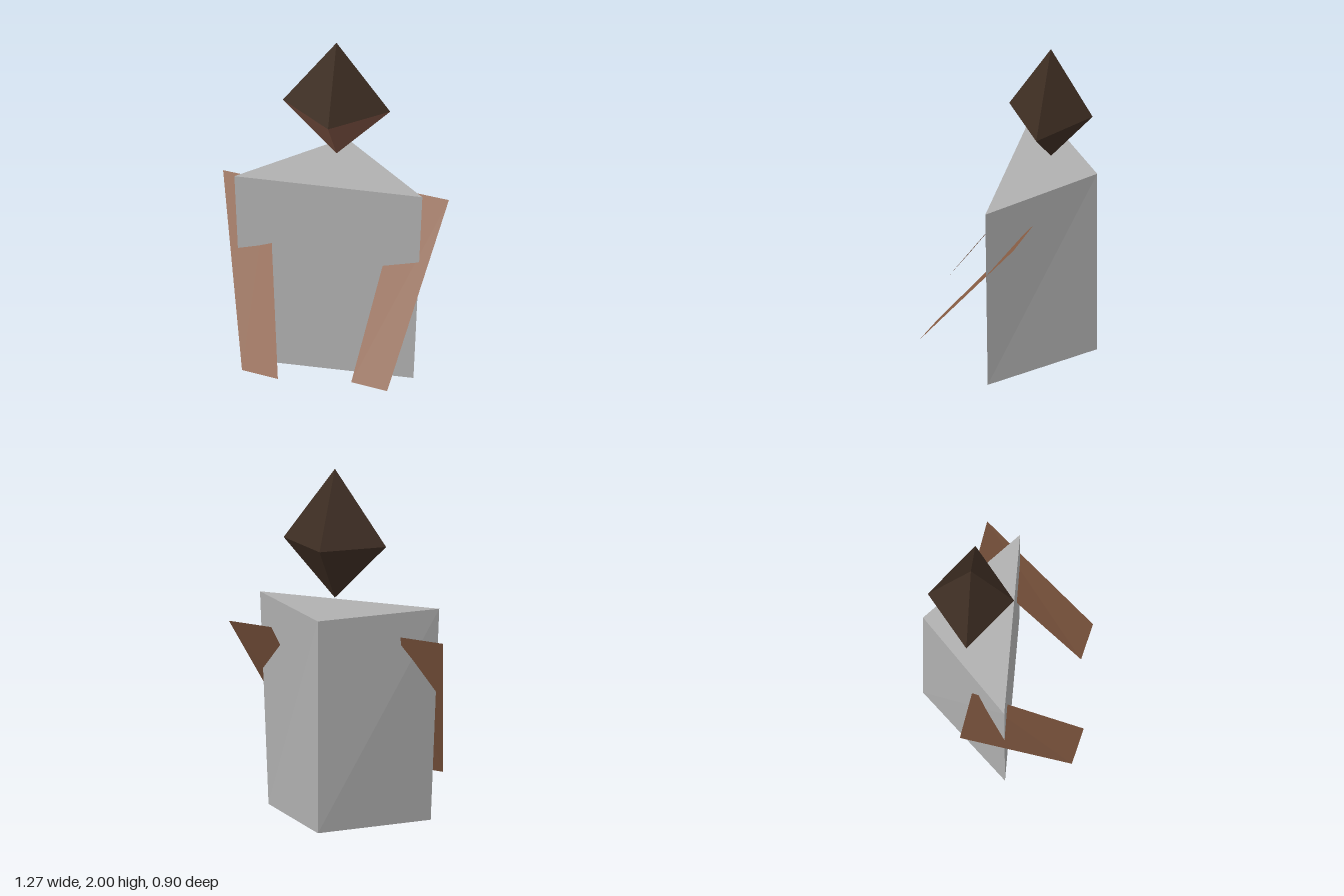
import * as THREE from 'three';

const mat = (name, color, extra = {}) => {
  const m = new THREE.MeshStandardMaterial({ color, ...extra });
  m.name = name;
  return m;
};

// Flat-shaded mesh from corner points and triangles (counter-clockwise seen from outside)
function facetMesh(name, corners, triangles, material) {
  const geometry = new THREE.BufferGeometry();
  const positions = triangles.flat().flatMap((i) => corners[i]);
  geometry.setAttribute('position', new THREE.Float32BufferAttribute(positions, 3));
  geometry.computeVertexNormals();
  const mesh = new THREE.Mesh(geometry, material);
  mesh.name = name;
  return mesh;
}

export function createModel() {
  const model = new THREE.Group();
  model.name = 'figure';
  const cloth = mat('grey cloth', 0xb0b0b0);
  const hair = mat('dark brown hair', 0x3d2d22);
  const face = mat('brown face', 0x7a5040);
  const skin = mat('brown skin', 0x8f6248, { side: THREE.DoubleSide });

  // Body: triangular prism, slightly wider at the top, with its point at the back
  const ring = (y, w) => [[-w, y, 0.04], [w, y, 0.04], [0, y, -0.45]];
  model.add(facetMesh('body', [...ring(0, 0.475), ...ring(1.2, 0.525)], [
    [0, 1, 4], [0, 4, 3], // front
    [1, 2, 5], [1, 5, 4], // left back
    [2, 0, 3], [2, 3, 5], // right back
    [3, 4, 5], [0, 2, 1], // top and bottom
  ], cloth));

  // Head: stretched octahedron, the lower front faces are the face
  const head = new THREE.Group();
  head.name = 'head';
  const headCorners = [
    [0, 2, -0.187], [0, 1.27, -0.187],
    [0, 1.585, 0.05], [0.3, 1.585, -0.187], [0, 1.585, -0.424], [-0.3, 1.585, -0.187],
  ];
  const hairFaces = [[1, 4, 3], [1, 5, 4]];
  for (let i = 0; i < 4; i++) hairFaces.push([0, 2 + i, 2 + ((i + 1) % 4)]);
  head.add(facetMesh('hair', headCorners, hairFaces, hair));
  head.add(facetMesh('face', headCorners, [[1, 3, 2], [1, 2, 5]], face));
  model.add(head);

  // Arms: flat sloping panels reaching forward and down; both twist the same way
  const quad = [[0, 1, 2], [0, 2, 3]];
  model.add(facetMesh('leftArm', [
    [0.2, 0.175, 0.402], [0.41, 0.175, 0.45], [0.635, 1.07, -0.15], [0.37, 1.07, -0.195],
  ], quad, skin));
  model.add(facetMesh('rightArm', [
    [-0.41, 0.175, 0.402], [-0.2, 0.175, 0.45], [-0.37, 1.07, -0.15], [-0.635, 1.07, -0.195],
  ], quad, skin));

  return model;
}
